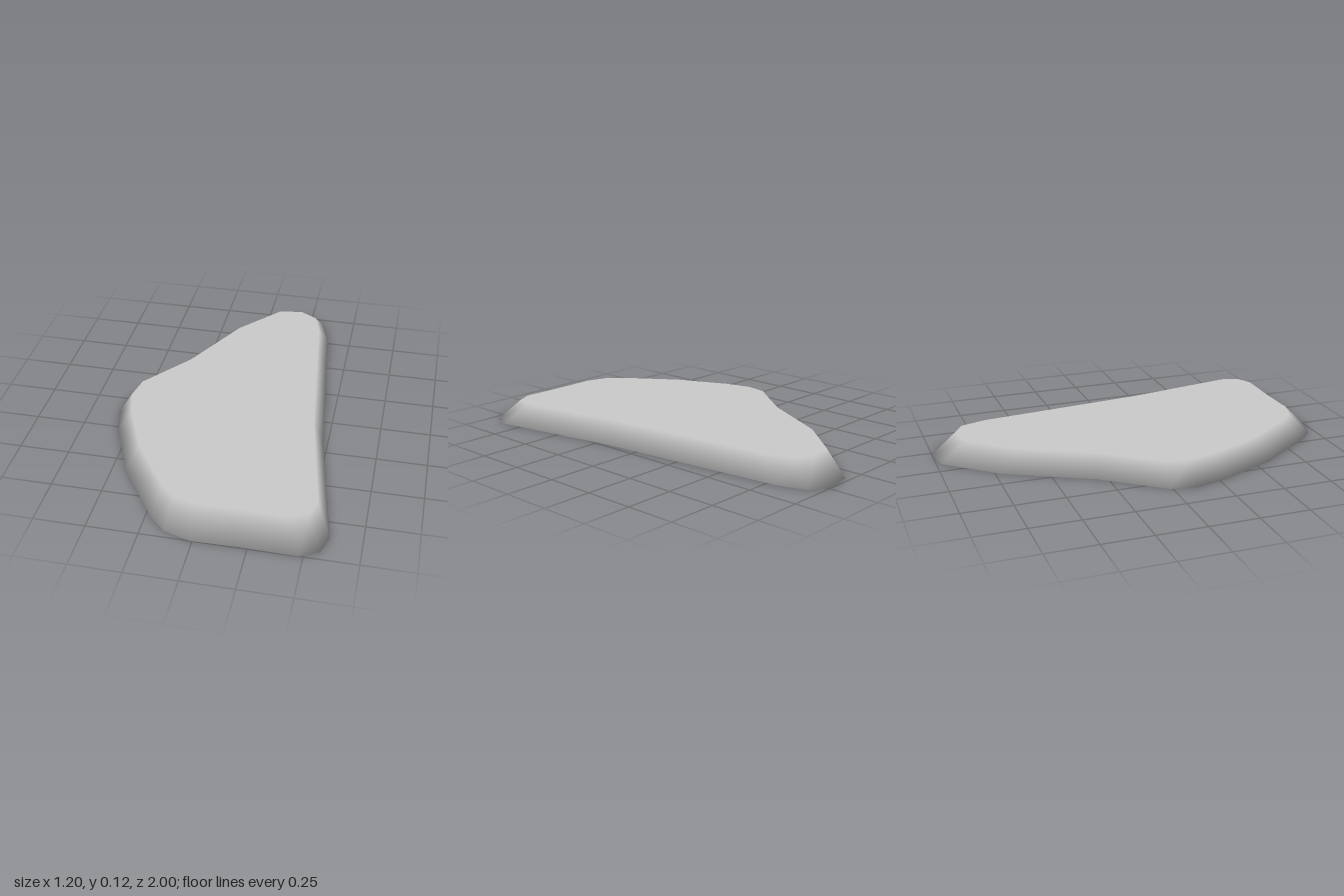
import * as THREE from 'three';

// Footprint as (x, z), counter-clockwise seen from above
const outline = [
  [0.09, -0.975], [-0.13, -0.72], [-0.35, -0.3], [-0.575, -0.01], [-0.6, 0.12],
  [-0.56, 0.28], [-0.43, 0.58], [-0.22, 0.885], [-0.14, 0.96], [-0.01, 1],
  [0.21, 0.995], [0.48, 1], [0.57, 0.955], [0.6, 0.86], [0.48, 0.18],
  [0.4, -0.55], [0.375, -0.79], [0.33, -0.94], [0.23, -1],
];
const n = outline.length;
const height = 0.115;
const topScale = 0.88;

// Closed slab: flat base, sloping side, flat top
function slabGeometry() {
  const position = [], normal = [], index = [];
  const add = (p, nrm) => {
    position.push(...p);
    normal.push(...nrm);
  };

  outline.forEach(([x, z], i) => {
    // Outward direction from the neighbouring corners
    const [px, pz] = outline[(i + n - 1) % n];
    const [qx, qz] = outline[(i + 1) % n];
    const out = new THREE.Vector3(pz - qz, 0, qx - px).normalize();
    // The side blends softly from the rounded foot into the flat top
    add([x, 0, z], new THREE.Vector3(out.x, -0.5, out.z).normalize());
    add([x * topScale, height, z * topScale], [0, 1, 0]);
    add([x, 0, z], [0, -1, 0]);
  });
  add([0, height, 0], [0, 1, 0]);
  add([0, 0, 0], [0, -1, 0]);

  const topCentre = 3 * n, baseCentre = 3 * n + 1;
  for (let i = 0; i < n; i++) {
    const a = 3 * i, b = 3 * ((i + 1) % n);
    index.push(a, b, b + 1, a, b + 1, a + 1); // side
    index.push(topCentre, a + 1, b + 1);      // top
    index.push(baseCentre, b + 2, a + 2);     // base
  }

  const geometry = new THREE.BufferGeometry();
  geometry.setAttribute('position', new THREE.Float32BufferAttribute(position, 3));
  geometry.setAttribute('normal', new THREE.Float32BufferAttribute(normal, 3));
  geometry.setIndex(index);
  return geometry;
}

export function createModel() {
  const group = new THREE.Group();
  group.name = 'stoneSlab';
  const slab = new THREE.Mesh(slabGeometry(), new THREE.MeshStandardMaterial({ color: 0xcccccc }));
  slab.name = 'slab';
  group.add(slab);
  return group;
}
